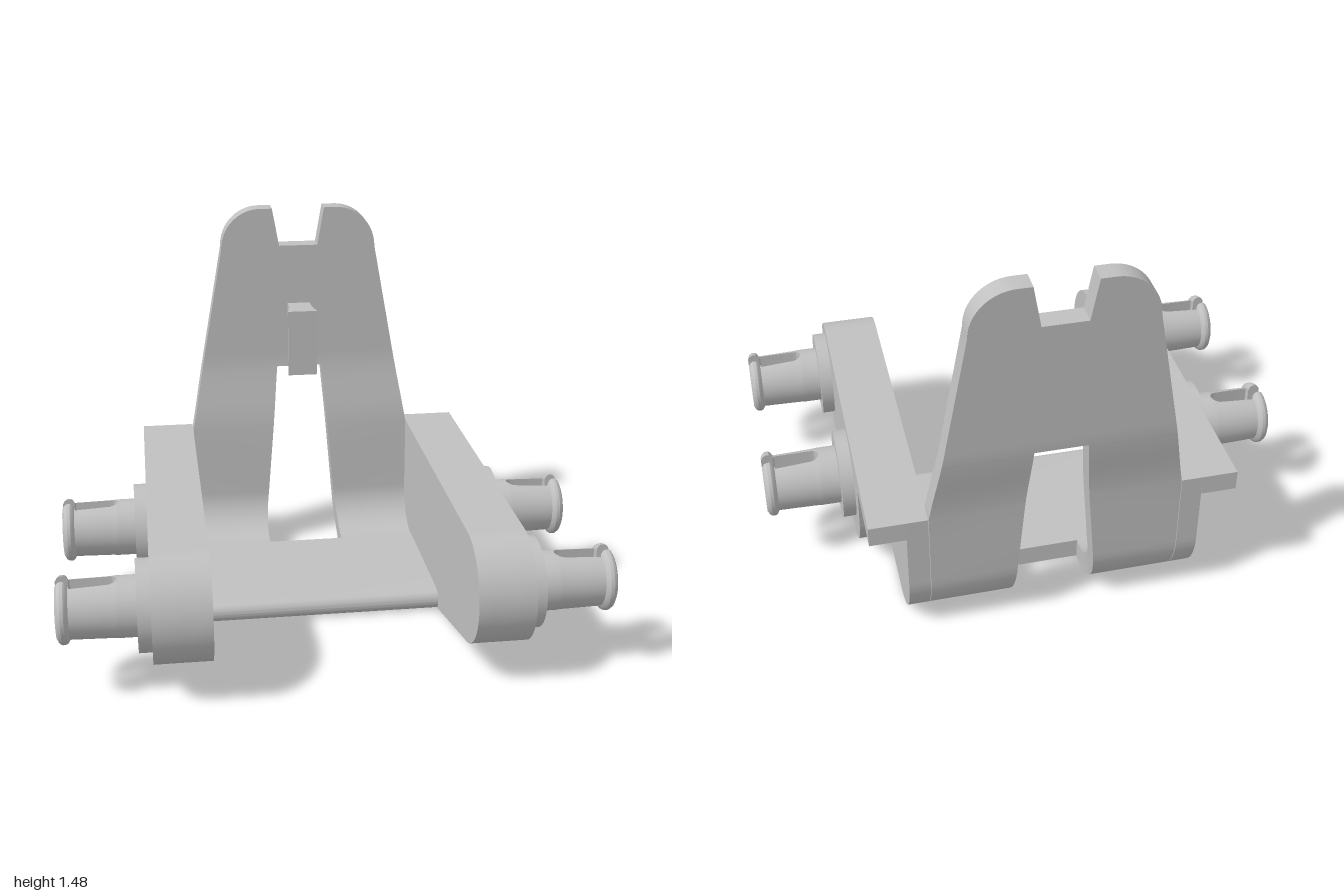
import * as THREE from 'three';
import { toCreasedNormals } from 'three/addons/utils/BufferGeometryUtils.js';

const V = (x, y, z) => new THREE.Vector3(x, y, z);

// Closed solid through rings of equal point count, capped at both ends
function loft(rings) {
  const n = rings[0].length, tris = [];
  for (let i = 0; i < rings.length - 1; i++) {
    for (let j = 0; j < n; j++) {
      const k = (j + 1) % n, p = rings[i], q = rings[i + 1];
      tris.push([p[j], p[k], q[k]], [p[j], q[k], q[j]]);
    }
  }
  const first = rings[0], last = rings[rings.length - 1];
  for (let j = 1; j < n - 1; j++) {
    tris.push([first[0], first[j + 1], first[j]], [last[0], last[j], last[j + 1]]);
  }
  // Turn every triangle outward using the signed volume
  let volume = 0;
  for (const [a, b, c] of tris) volume += a.dot(b.clone().cross(c));
  const points = tris.flatMap(([a, b, c]) => (volume < 0 ? [a, c, b] : [a, b, c]));
  const geo = new THREE.BufferGeometry().setFromPoints(points);
  return toCreasedNormals(geo, 0.5);
}

const range = (n, f) => Array.from({ length: n + 1 }, (_, i) => f(i / n));
const lerp = THREE.MathUtils.lerp;

// Centre faces of the upright sheet at height y
function upright(y) {
  if (y <= 0.54) {
    const t = (y - 0.25) / 0.29;
    return { a: [y, lerp(-0.615, -0.622, t)], b: [y, lerp(-0.695, -0.7, t)] };
  }
  const s = THREE.MathUtils.smoothstep(y, 0.52, 0.86), top = Math.max(0, y - 0.86) / 0.615;
  return { a: [y, -0.622 - 0.04 * s - 0.011 * top], b: [y, -0.7 - 0.04 * s - 0.012 * top] };
}

// Rectangular section of the sheet between two x values
const section = (f, x0, x1) => [
  V(x0, f.a[0], f.a[1]), V(x1, f.a[0], f.a[1]),
  V(x1, f.b[0], f.b[1]), V(x0, f.b[0], f.b[1]),
];

const outerX = (y) => (y <= 0.54 ? 0.46 : lerp(0.46, 0.32, Math.min(1, (y - 0.54) / 0.77)));
const windowX = (y) => lerp(0.155, 0.095, Math.max(0, (y - 0.08) / 0.72));

// Side profile in (z, y): shared rounded nose, different undersides
function sideShape(outer) {
  const s = new THREE.Shape();
  s.moveTo(-0.7, 0.54);
  s.lineTo(0.54, 0.54);
  s.absarc(0.54, 0.33, 0.21, Math.PI / 2, -1.335, true);
  if (outer) {
    s.quadraticCurveTo(0.45, 0.09, 0.25, 0.085);
    s.lineTo(-0.157, 0.08);
    s.bezierCurveTo(-0.27, 0.09, -0.36, 0.17, -0.379, 0.274);
    s.lineTo(-0.405, 0.463);
    s.lineTo(-0.7, 0.463);
  } else {
    s.lineTo(0.08, 0);
    s.lineTo(-0.45, 0);
    s.absarc(-0.45, 0.245, 0.245, -Math.PI / 2, -Math.PI, true);
  }
  s.closePath();
  return s;
}

function sideGeometry(outer, x0, x1) {
  const geo = new THREE.ExtrudeGeometry(sideShape(outer), {
    depth: x1 - x0, bevelEnabled: false, curveSegments: 28,
  });
  geo.rotateY(-Math.PI / 2).translate(x1, 0, 0);
  return toCreasedNormals(geo, 0.4);
}

// One half of a split snap pin: rows are [x, radius, half slot width]
function pinHalf(side, half, z) {
  const rows = [
    [0.71, 0.11, 0], [0.785, 0.11, 0], [0.79, 0.11, 0.015], [0.8, 0.109, 0.026],
    [0.815, 0.108, 0.031], [0.95, 0.105, 0.037], [0.955, 0.105, 0.022], [0.962, 0.117, 0.022],
    [0.97, 0.122, 0.022], [0.982, 0.122, 0.022], [0.992, 0.116, 0.022], [1, 0.102, 0.022],
  ];
  return loft(rows.map(([x, r, w]) => {
    const a = Math.acos(w / r);
    return range(24, (t) => {
      const ang = lerp(-a, a, t);
      return V(side * x, 0.33 + r * Math.sin(ang), z + half * r * Math.cos(ang));
    });
  }));
}

export function createModel() {
  const model = new THREE.Group();
  const grey = new THREE.MeshStandardMaterial({ color: 0xc0c0c0 });
  grey.name = 'light grey';
  const add = (name, geo, parent = model) => {
    const mesh = new THREE.Mesh(geo, grey);
    mesh.name = name;
    parent.add(mesh);
    return mesh;
  };

  // Floor with a rounded front lip
  const floor = range(8, (t) => {
    const a = t * Math.PI / 2, h = Math.max(0.001, 0.04 * Math.sin(a));
    const z = 0.077 + 0.04 * Math.cos(a);
    return { a: [0.04 + h, z], b: [0.04 - h, z] };
  });
  floor.push({ a: [0.08, -0.44], b: [0, -0.44] });
  add('floorPlate', loft(floor.map((f) => section(f, -0.47, 0.47))));

  // Bent legs either side of the window
  const legs = [{ a: [0.08, -0.44], b: [0, -0.44] }];
  legs.push(...range(14, (t) => {
    const c = Math.cos(t * Math.PI / 2), s = Math.sin(t * Math.PI / 2);
    return {
      a: [0.245 - 0.165 * c, -0.45 - 0.165 * s],
      b: [0.245 - 0.245 * c, -0.45 - 0.245 * s],
    };
  }));
  legs.push(upright(0.4), ...range(10, (t) => upright(lerp(0.54, 0.8, t))));
  for (const s of [1, -1]) {
    add(s > 0 ? 'leftBackLeg' : 'rightBackLeg', loft(legs.map((f) => {
      const y = (f.a[0] + f.b[0]) / 2;
      return section(f, s * windowX(y), s * outerX(y));
    })));
  }

  // Solid upper back and the two rounded horns beside the notch
  const upperY = [0.8, 0.82, 0.84, 0.86, 1.1, 1.31, 1.32];
  add('upperBack', loft(upperY.map((y) => section(upright(y), -outerX(y), outerX(y)))));
  const hornStart = Math.asin(0.01 / 0.165);
  for (const s of [1, -1]) {
    add(s > 0 ? 'leftHorn' : 'rightHorn', loft(range(14, (t) => {
      const a = lerp(hornStart, Math.PI / 2, t), y = 1.31 + 0.165 * Math.sin(a);
      const inner = lerp(0.08, 0.108, (y - 1.32) / 0.155);
      return section(upright(y), s * inner, s * (0.16 + 0.16 * Math.cos(a)));
    })));
  }

  // Small wedge-shaped tab on the front of the back plate
  add('backTab', loft([[-0.53, 0.06], [-0.61, 0.047], [-0.67, 0.047]].map(([z, w]) => [
    V(-w, 0.8, z), V(w, 0.8, z), V(w, 1.075, z), V(-w, 1.075, z),
  ])));

  // Side cheeks, bosses and split pins, mirrored left and right
  for (const s of [1, -1]) {
    const side = new THREE.Group();
    side.name = s > 0 ? 'leftSide' : 'rightSide';
    model.add(side);
    const span = (a, b) => (s > 0 ? [a, b] : [-b, -a]);
    add('innerCheek', sideGeometry(false, ...span(0.462, 0.54)), side);
    add('outerCheek', sideGeometry(true, ...span(0.54, 0.672)), side);
    for (const z of [0.54, -0.13]) {
      const boss = new THREE.CylinderGeometry(0.167, 0.167, 0.06, 48);
      boss.rotateZ(Math.PI / 2).translate(s * 0.69, 0.33, z);
      add('boss', boss, side);
      for (const half of [1, -1]) add('pinHalf', pinHalf(s, half, z), side);
    }
  }
  return model;
}
